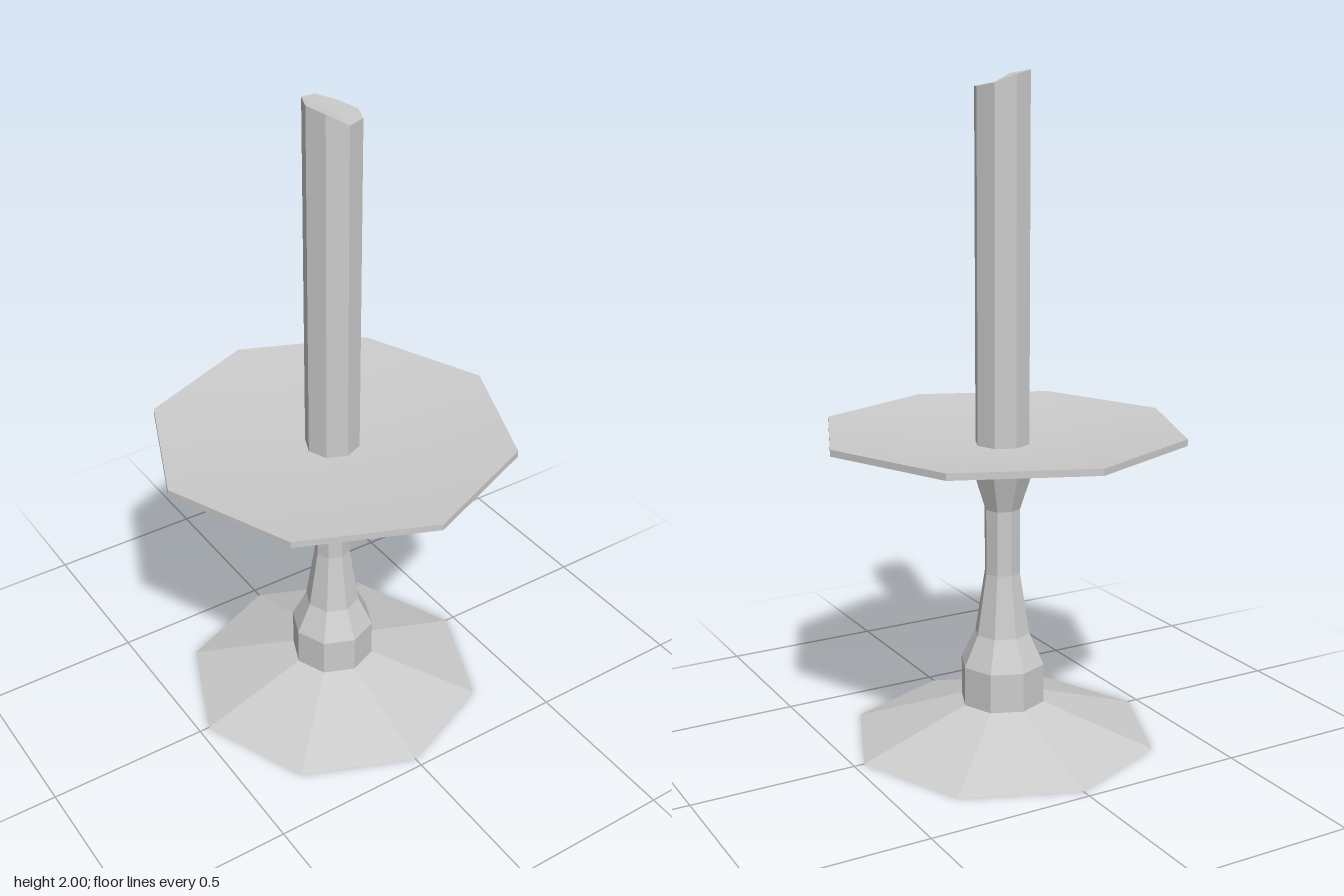
import * as THREE from 'three';
import { toCreasedNormals } from 'three/addons/utils/BufferGeometryUtils.js';

const SIDES = 8;

// Octagonal turned part from [radius, height] pairs, listed bottom to top
function turned(name, profile, crease) {
  const points = profile.map(([r, y]) => new THREE.Vector2(r, y));
  const geometry = toCreasedNormals(new THREE.LatheGeometry(points, SIDES), crease);
  const mesh = new THREE.Mesh(geometry, new THREE.MeshStandardMaterial({ color: 0xcccccc }));
  mesh.name = name;
  return mesh;
}

export function createModel() {
  const group = new THREE.Group();
  group.name = 'candlestick';

  // Sloped foot with a closed underside
  const foot = turned('foot', [[0, 0], [0.468, 0], [0.128, 0.115], [0, 0.115]], 0.1);

  // Waisted stem that flares up to the tray
  const stem = turned('stem', [
    [0.13, 0.11], [0.13, 0.235], [0.085, 0.33], [0.055, 0.52], [0.055, 0.72], [0.118, 0.912],
  ], 0.1);

  // Shallow dished drip tray
  const tray = turned('dripTray', [
    [0, 0.91], [0.39, 0.91], [0.552, 0.946], [0.552, 0.966], [0, 0.912],
  ], 0.5);

  // Candle, its melted rim heights given counter-clockwise from the front corner
  const rim = [1.955, 1.955, 1.955, 1.965, 1.988, 2, 2, 1.99];
  const candle = turned('candle', [[0.083, 0.912], [0.083, 1.96], [0, 1.97]], 0.6);
  const position = candle.geometry.attributes.position;
  for (let i = 0; i < position.count; i++) {
    const x = position.getX(i), z = position.getZ(i);
    if (position.getY(i) < 1.9 || Math.hypot(x, z) < 0.01) continue;
    const corner = Math.round(Math.atan2(x, z) / (Math.PI / 4));
    position.setY(i, rim[(corner + SIDES) % SIDES]);
  }
  candle.geometry = toCreasedNormals(candle.geometry, 0.6);

  group.add(foot, stem, tray, candle);
  return group;
}
